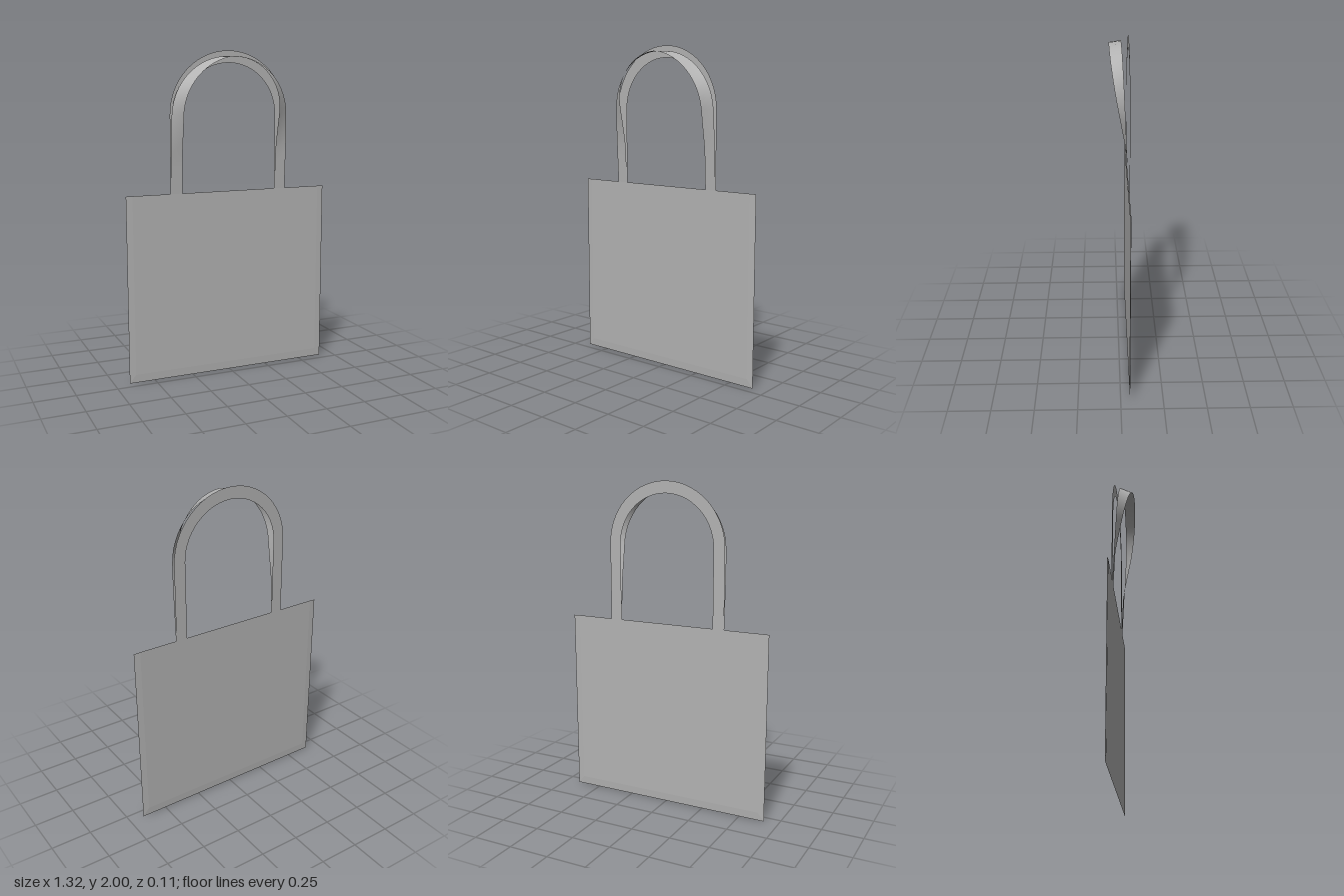
import * as THREE from 'three';

const canvasGrey = new THREE.MeshStandardMaterial({ color: 0xb2b2b2, side: THREE.DoubleSide });
canvasGrey.name = 'canvas grey';

const HALF_W = 0.66, TOP = 1.15, MID_Z = -0.055, PUFF = 0.0025;
const ARCH_R = 0.345, ARCH_Y = 1.62, STRAP = 0.036, TWIST_START = 1.4;

function meshFrom(points, index, name) {
  const geometry = new THREE.BufferGeometry();
  geometry.setAttribute('position', new THREE.Float32BufferAttribute(points, 3));
  geometry.setIndex(index);
  const shaped = name === 'strap' ? geometry : geometry.toNonIndexed();
  shaped.computeVertexNormals();
  return new THREE.Mesh(shaped, canvasGrey);
}

// One side of the bag: a flat sheet whose side and bottom margins slope to the shared seam
function panel(side) {
  const zf = MID_Z + side * PUFF, x = HALF_W, xi = x - 0.04;
  const points = [
    -x, TOP, MID_Z, -x, 0, MID_Z, x, 0, MID_Z, x, TOP, MID_Z,
    -xi, TOP, zf, -xi, 0.05, zf, xi, 0.05, zf, xi, TOP, zf,
  ];
  const quads = [[4, 5, 6, 7], [0, 1, 5, 4], [1, 2, 6, 5], [2, 3, 7, 6]];
  const index = quads.flatMap(([a, b, c, d]) =>
    side > 0 ? [a, b, c, a, c, d] : [a, c, b, a, d, c]);
  return meshFrom(points, index, 'panel');
}

// Ribbon running up one leg, over the arch and down the other; it may twist towards the apex
function strap(twisted) {
  const stations = [];
  const legSteps = 6, archSteps = 28;
  for (let i = 0; i < legSteps; i++) {
    stations.push({ y: TOP + (ARCH_Y - TOP) * i / legSteps, a: 0, side: 1 });
  }
  for (let i = 0; i <= archSteps; i++) stations.push({ y: ARCH_Y, a: Math.PI * i / archSteps });
  for (let i = legSteps - 1; i >= 0; i--) {
    stations.push({ y: TOP + (ARCH_Y - TOP) * i / legSteps, a: Math.PI });
  }
  const points = [], index = [];
  const twistLength = ARCH_Y - TWIST_START + ARCH_R * Math.PI / 2;
  stations.forEach(({ y, a }, i) => {
    const run = y - TWIST_START + ARCH_R * Math.min(a, Math.PI - a);
    const twist = twisted ? Math.max(0, run / twistLength) * Math.PI / 2 : 0;
    const height = y + ARCH_R * Math.sin(a);
    const zBack = twisted ? -0.0525 + 0.045 * (height - TOP) : MID_Z - PUFF;
    // outer edge stays at the back, inner edge swings forward
    for (const edge of [1, -1]) {
      const r = ARCH_R + edge * STRAP * Math.cos(twist);
      points.push(r * Math.cos(a), y + r * Math.sin(a),
        zBack + (1 - edge) * STRAP * Math.sin(twist));
    }
    if (i > 0) {
      const k = 2 * i;
      index.push(k - 2, k, k - 1, k - 1, k, k + 1);
    }
  });
  return meshFrom(points, index, 'strap');
}

export function createModel() {
  const bag = new THREE.Group();
  bag.name = 'toteBag';
  const parts = {
    frontPanel: panel(1),
    backPanel: panel(-1),
    frontHandle: strap(true),
    backHandle: strap(false),
  };
  for (const [name, mesh] of Object.entries(parts)) {
    mesh.name = name;
    bag.add(mesh);
  }
  return bag;
}
